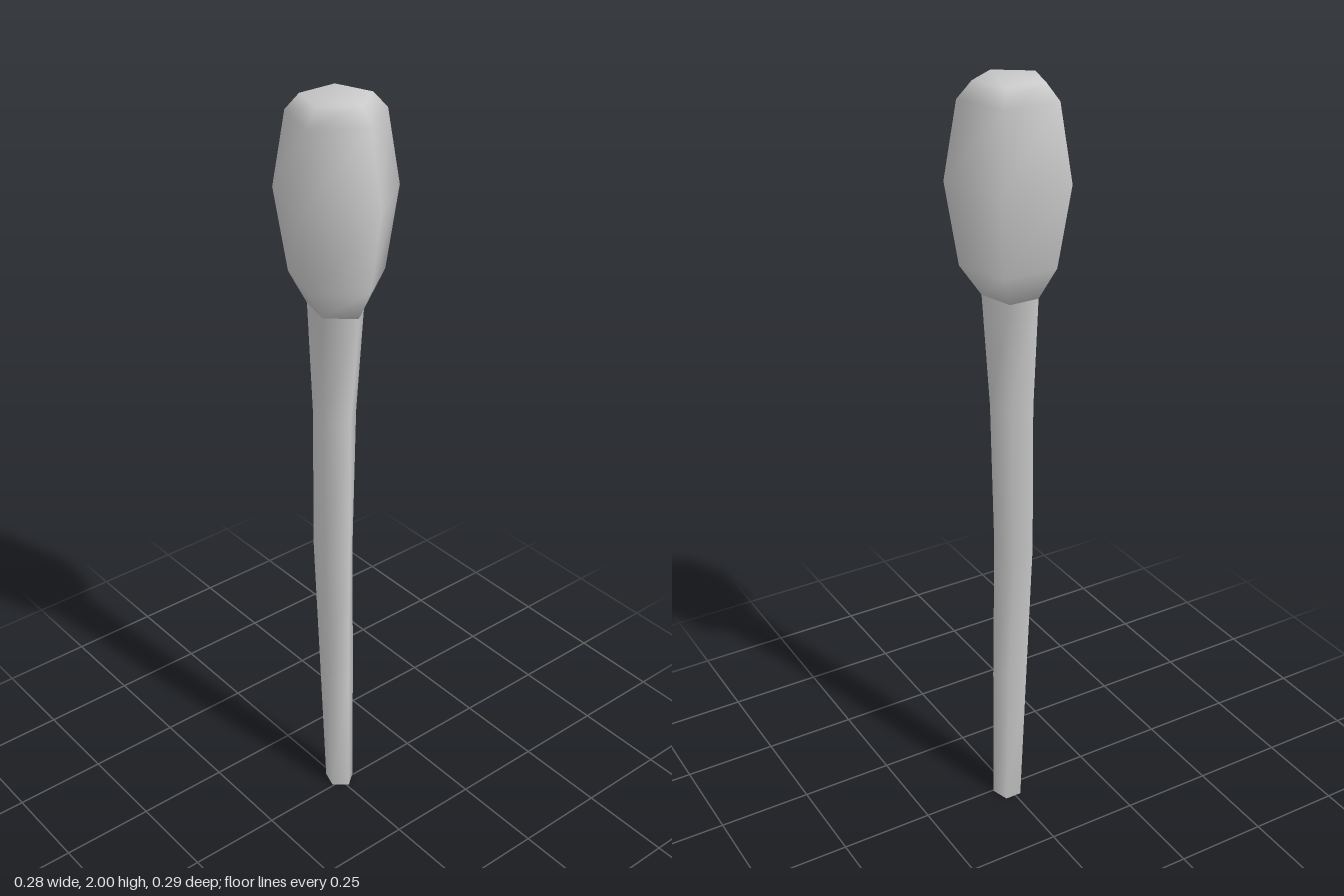
import * as THREE from 'three';

const SIDES = 5;
const material = new THREE.MeshStandardMaterial({ color: 0xcccccc });

// Smooth five-sided loft; each ring is [y, xMin, xMax, zMin, zMax] with a corner towards +x
function loft(name, rings, capTop, capBottom) {
  const points = [], index = [];
  const back = Math.cos(Math.PI / 5), wide = Math.sin(Math.PI * 2 / 5);
  for (const [y, x0, x1, z0, z1] of rings) {
    for (let i = 0; i < SIDES; i++) {
      const a = (i / SIDES) * Math.PI * 2;
      const x = x0 + (x1 - x0) * (Math.cos(a) + back) / (1 + back);
      const z = (z0 + z1) / 2 + (z1 - z0) / 2 * Math.sin(a) / wide;
      points.push(x, y, z);
    }
  }
  for (let r = 0; r < rings.length - 1; r++) {
    for (let i = 0; i < SIDES; i++) {
      const a = r * SIDES + i, b = r * SIDES + (i + 1) % SIDES;
      index.push(a, a + SIDES, b, b, a + SIDES, b + SIDES);
    }
  }
  const top = (rings.length - 1) * SIDES;
  for (let i = 1; i < SIDES - 1; i++) {
    if (capTop) index.push(top, top + i + 1, top + i);
    if (capBottom) index.push(0, i, i + 1);
  }
  const geometry = new THREE.BufferGeometry();
  geometry.setAttribute('position', new THREE.Float32BufferAttribute(points, 3));
  geometry.setIndex(index);
  geometry.computeVertexNormals();
  const mesh = new THREE.Mesh(geometry, material);
  mesh.name = name;
  return mesh;
}

export function createModel() {
  const model = new THREE.Group();
  model.name = 'club';

  // Slightly crooked handle that widens towards the head
  model.add(loft('handle', [
    [0, -0.05, 0.025, -0.043, 0.03],
    [0.4, -0.058, 0.032, -0.042, 0.044],
    [0.8, -0.068, 0.047, -0.034, 0.055],
    [1.2, -0.065, 0.041, -0.046, 0.058],
    [1.49, -0.08, 0.065, -0.062, 0.065],
  ], false, true));

  // Faceted bulging head
  model.add(loft('head', [
    [1.49, -0.08, 0.065, -0.062, 0.065],
    [1.57, -0.112, 0.105, -0.115, 0.115],
    [1.775, -0.14, 0.139, -0.146, 0.146],
    [1.96, -0.113, 0.105, -0.116, 0.116],
    [2, -0.086, 0.07, -0.082, 0.082],
  ], true, true));

  return model;
}
